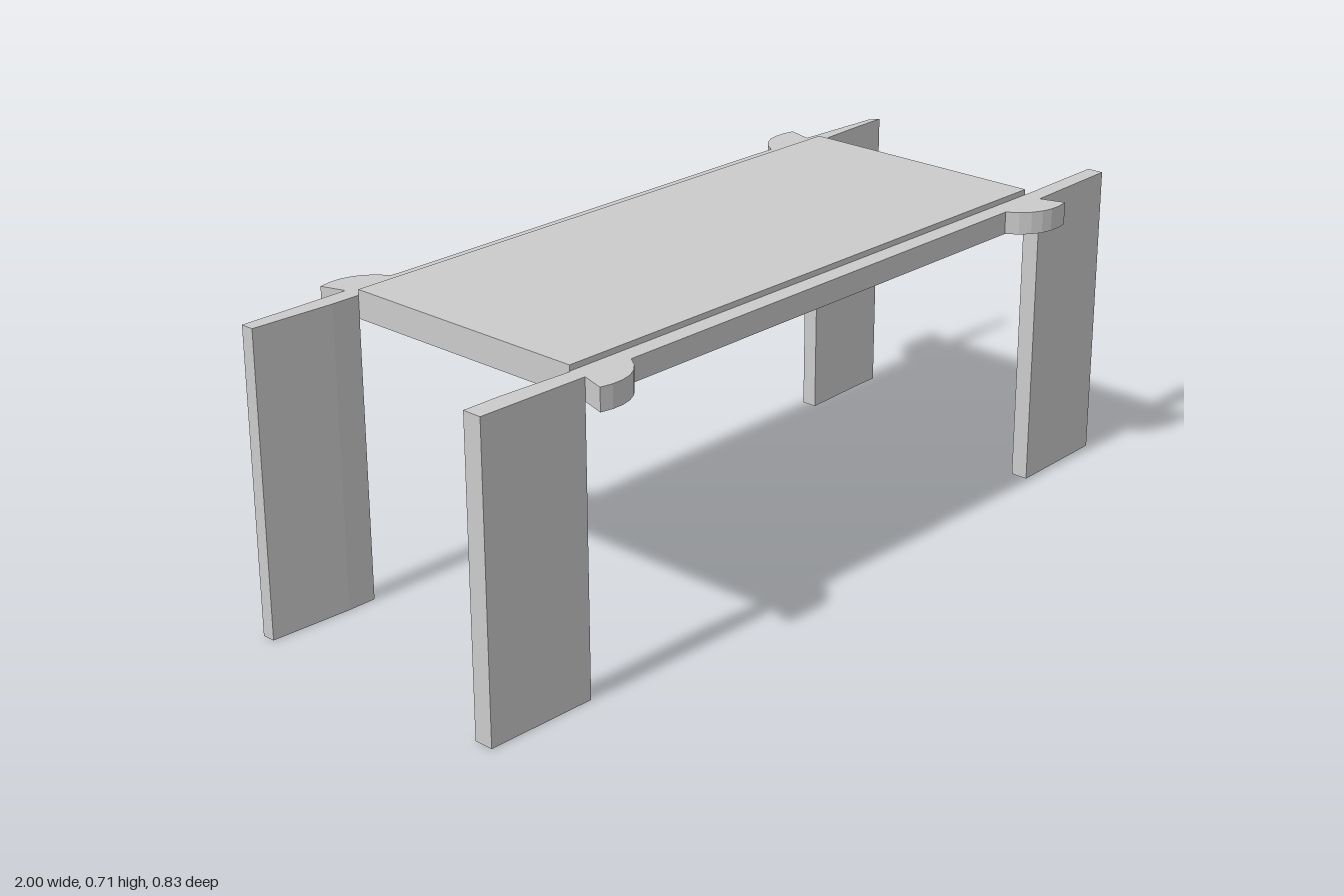
import * as THREE from 'three';

const material = new THREE.MeshStandardMaterial({ color: 0xcccccc, flatShading: true });

// Extrudes a plan outline (x, z) upward from y0 to y1.
function prism(name, shape, y0, y1) {
  const geo = new THREE.ExtrudeGeometry(shape, { depth: y1 - y0, bevelEnabled: false, curveSegments: 6 });
  geo.rotateX(-Math.PI / 2).translate(0, y0, 0);
  const mesh = new THREE.Mesh(geo, material);
  mesh.name = name;
  return mesh;
}

const plan = (points) => new THREE.Shape(points.map(([x, z]) => new THREE.Vector2(x, -z)));

// Side rail with a rounded ear near each end; s is +1 at the front, -1 at the back.
function railShape(s) {
  const shape = new THREE.Shape();
  const z = (v) => -s * v;
  shape.moveTo(-0.73, z(0.31));
  shape.lineTo(-0.73, z(0.352));
  shape.lineTo(-0.748, z(0.41));
  shape.bezierCurveTo(-0.69, z(0.427), -0.635, z(0.41), -0.603, z(0.352));
  shape.lineTo(0.61, z(0.352));
  shape.bezierCurveTo(0.642, z(0.41), 0.697, z(0.427), 0.757, z(0.41));
  shape.lineTo(0.74, z(0.352));
  shape.lineTo(0.74, z(0.31));
  shape.closePath();
  return shape;
}

export function createModel() {
  const group = new THREE.Group();
  group.name = 'table';

  // Table top, slightly proud of the rails
  group.add(prism('tableTop', plan([[-0.73, -0.31], [0.74, -0.31], [0.74, 0.31], [-0.73, 0.31]]), 0.65, 0.715));

  // Rails along the two long sides
  group.add(prism('frontRail', railShape(1), 0.65, 0.702));
  group.add(prism('backRail', railShape(-1), 0.65, 0.702));

  // Plank legs, each with its own slightly uneven section
  const legs = {
    frontRightLeg: [[-1, 0.302], [-0.91, 0.302], [-0.73, 0.312], [-0.73, 0.352], [-1, 0.348]],
    backRightLeg: [[-1, -0.352], [-0.73, -0.352], [-0.73, -0.31], [-0.8, -0.31], [-1, -0.32]],
    frontLeftLeg: [[0.74, 0.31], [1, 0.304], [1, 0.343], [0.74, 0.352]],
    backLeftLeg: [[0.74, -0.348], [0.965, -0.336], [0.985, -0.32], [0.9, -0.318], [0.74, -0.31]],
  };
  for (const [name, points] of Object.entries(legs)) group.add(prism(name, plan(points), 0, 0.702));

  return group;
}
